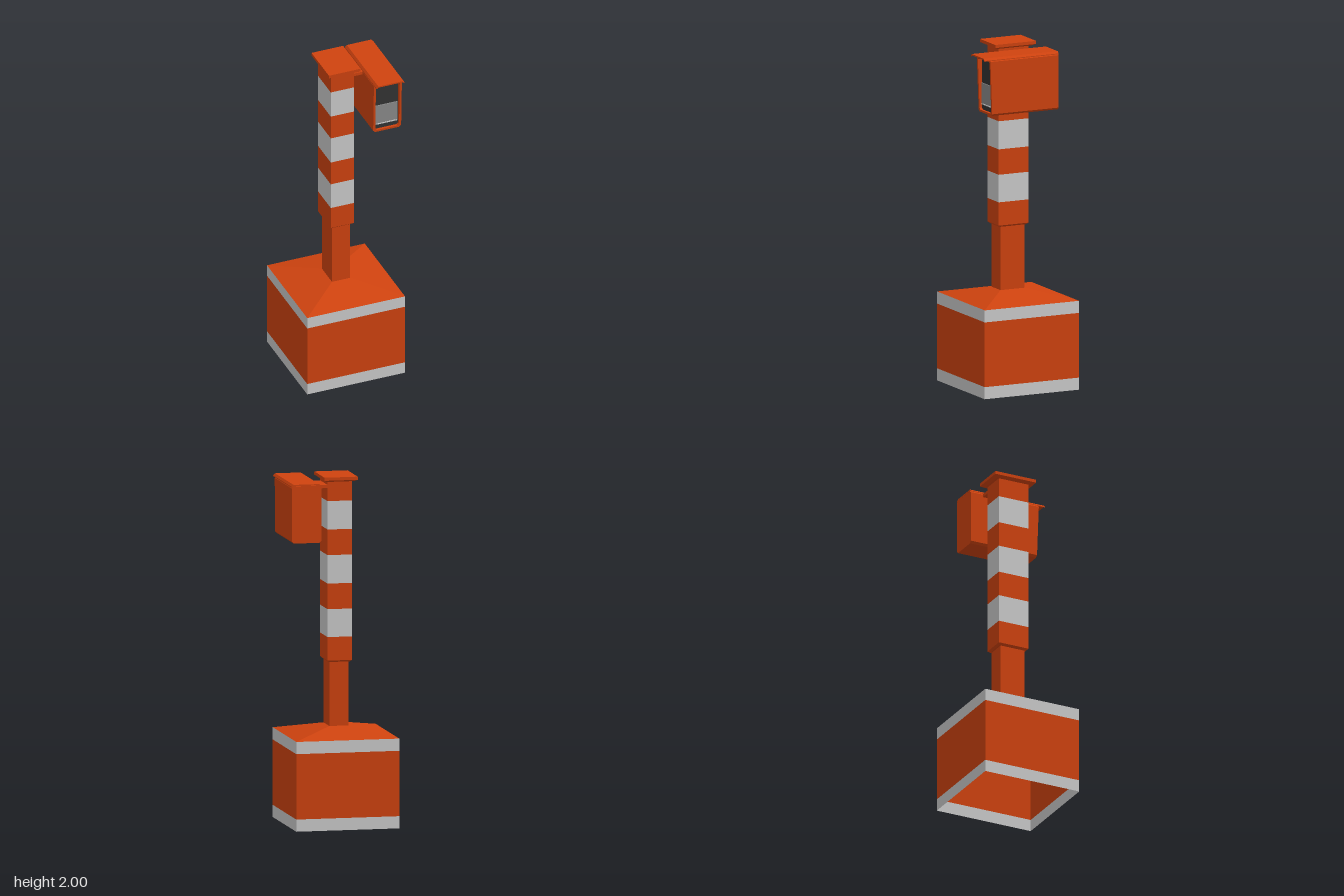
import * as THREE from 'three';

const material = (name, color, side = THREE.FrontSide) => {
  const m = new THREE.MeshStandardMaterial({ color, side });
  m.name = name;
  return m;
};

// Rectangular walls lofted through sections [y, halfX, halfZ], with optional end caps
function loft(sections, bottom = false, top = false) {
  const pos = [];
  const ring = ([y, a, b]) => [[-a, y, b], [a, y, b], [a, y, -b], [-a, y, -b]];
  const quad = (a, b, c, d) => pos.push(...a, ...b, ...c, ...a, ...c, ...d);
  for (let i = 0; i < sections.length - 1; i++) {
    const lo = ring(sections[i]), hi = ring(sections[i + 1]);
    for (let k = 0; k < 4; k++) {
      const n = (k + 1) % 4;
      quad(lo[k], lo[n], hi[n], hi[k]);
    }
  }
  if (bottom) quad(...ring(sections[0]).reverse());
  if (top) quad(...ring(sections[sections.length - 1]));
  const g = new THREE.BufferGeometry();
  g.setAttribute('position', new THREE.Float32BufferAttribute(pos, 3));
  g.computeVertexNormals();
  return g;
}

// Rectangle outline with cut corners
function cutRect(Type, x0, x1, y0, y1, c) {
  const s = new Type();
  s.setFromPoints([
    [x0 + c, y0], [x1 - c, y0], [x1, y0 + c], [x1, y1 - c],
    [x1 - c, y1], [x0 + c, y1], [x0, y1 - c], [x0, y0 + c],
  ].map(([x, y]) => new THREE.Vector2(x, y)));
  s.closePath();
  return s;
}

function extrude(shape, z0, z1) {
  return new THREE.ExtrudeGeometry(shape, { depth: z1 - z0, bevelEnabled: false }).translate(0, 0, z0);
}

export function createModel() {
  const model = new THREE.Group();
  const orange = material('orange paint', 0xd0430f, THREE.DoubleSide);
  const white = material('reflective white', 0xcccccc, THREE.DoubleSide);
  const dark = material('dark recess', 0x333333);
  const grey = material('grey panel', 0x8a8a8a, THREE.DoubleSide);

  const add = (name, geometry, mat, parent = model) => {
    const mesh = new THREE.Mesh(geometry, mat);
    mesh.name = name;
    parent.add(mesh);
    return mesh;
  };
  const box = (name, w, h, d, x, y, z, mat, parent) =>
    add(name, new THREE.BoxGeometry(w, h, d).translate(x, y, z), mat, parent);

  // Hollow base, open underneath
  const base = new THREE.Group();
  base.name = 'base';
  model.add(base);
  [0, 0.07, 0.445, 0.515].forEach((y, i, ys) => {
    if (i < 3) add('baseBand', loft([[y, 0.3, 0.3], [ys[i + 1], 0.3, 0.3]]), i === 1 ? orange : white, base);
  });
  add('baseRoof', loft([[0.515, 0.3, 0.3], [0.567, 0.056, 0.076]], false, true), orange, base);

  // Narrow lower post
  add('lowerPost', loft([[0.567, 0.056, 0.076], [0.945, 0.056, 0.076]]), orange);

  // Striped sleeve with a tapered lower lip
  const sleeve = new THREE.Group();
  sleeve.name = 'stripedSleeve';
  model.add(sleeve);
  add('sleeveLip', loft([[0.935, 0.06, 0.083], [0.945, 0.071, 0.095]], true), orange, sleeve);
  const bands = [0.945, 1.08, 1.24, 1.387, 1.55, 1.697, 1.86, 1.978];
  for (let i = 0; i < bands.length - 1; i++) {
    add('sleeveBand', loft([[bands[i], 0.071, 0.095], [bands[i + 1], 0.071, 0.095]]), i % 2 ? white : orange, sleeve);
  }

  // Flat cap
  add('cap', loft([[1.972, 0.08, 0.108], [1.982, 0.097, 0.13], [2, 0.097, 0.13]], true, true), orange);

  // Side bracket carrying the housing
  box('bracket', 0.08, 0.018, 0.19, 0.1, 1.944, 0, orange);

  // Housing: tube with a leaning front rim
  const housing = new THREE.Group();
  housing.name = 'housing';
  model.add(housing);
  const shell = cutRect(THREE.Shape, 0.125, 0.297, 1.634, 1.962, 0.012);
  shell.holes.push(cutRect(THREE.Path, 0.138, 0.284, 1.646, 1.948, 0.01));
  const shellGeo = extrude(shell, -0.17, 0.25);
  const p = shellGeo.attributes.position;
  for (let i = 0; i < p.count; i++) {
    if (p.getZ(i) > 0) p.setZ(i, 0.25 + 0.012 * (p.getY(i) - 1.634) / 0.328);
  }
  shellGeo.computeVertexNormals();
  add('housingShell', shellGeo, orange, housing);
  add('housingBack', extrude(cutRect(THREE.Shape, 0.125, 0.297, 1.634, 1.962, 0.012), -0.172, -0.165), orange, housing);

  // Folded hood reaching past the front
  const hood = new THREE.Shape([
    [0.125, 1.955], [0.138, 1.963], [0.285, 1.963], [0.298, 1.955],
    [0.298, 1.96], [0.286, 1.971], [0.137, 1.971], [0.125, 1.96],
  ].map(([x, y]) => new THREE.Vector2(x, y)));
  add('hood', extrude(hood, -0.172, 0.3), orange, housing);

  // Dark front recess with the grey lower panel
  box('recess', 0.147, 0.303, 0.38, 0.211, 1.797, 0.045, dark, housing);
  box('greyPanel', 0.136, 0.125, 0.006, 0.211, 1.738, 0.238, grey, housing);
  box('lightStrip', 0.124, 0.006, 0.004, 0.211, 1.68, 0.242, white, housing);

  return model;
}
